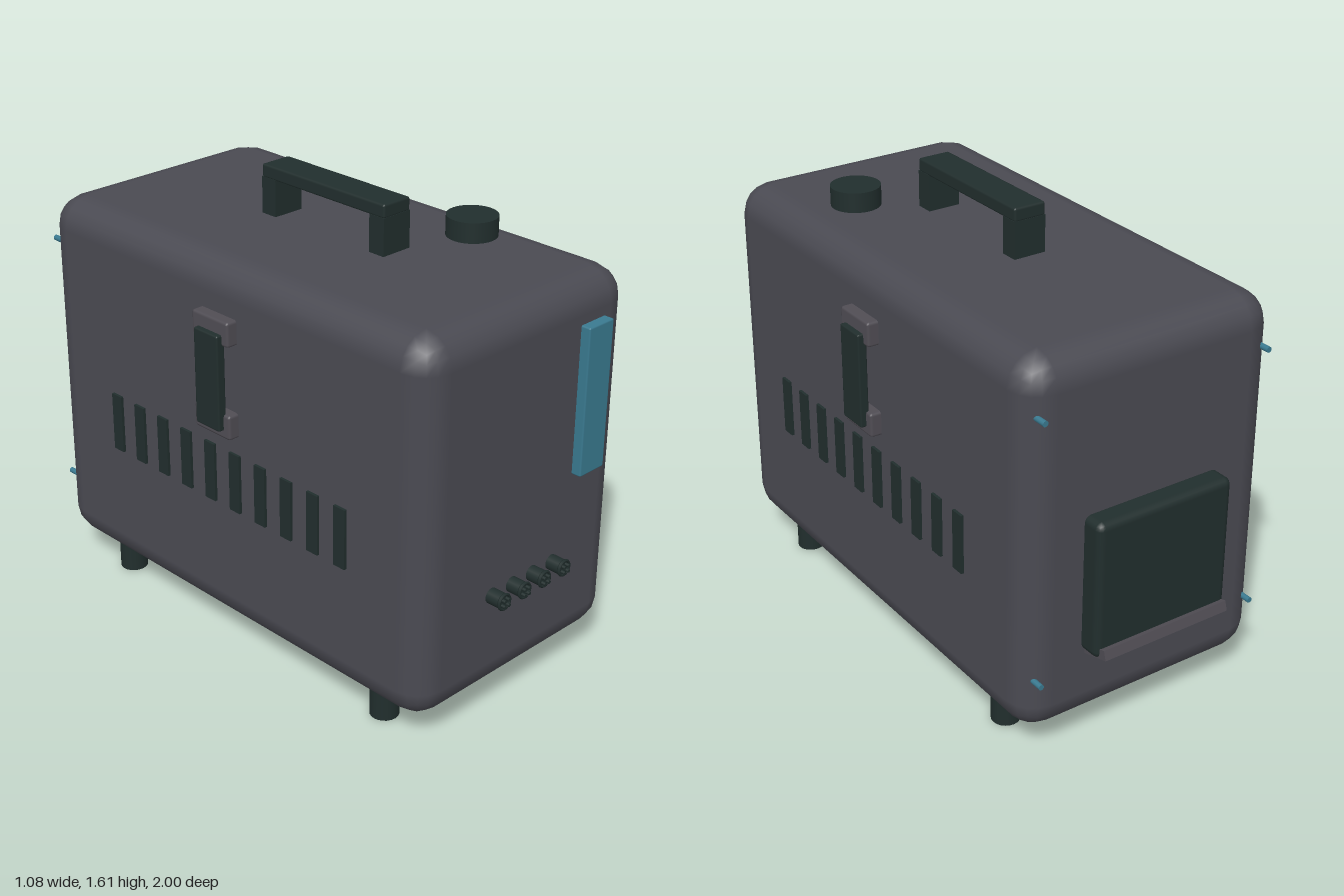
import * as THREE from 'three';
import { RoundedBoxGeometry } from 'three/addons/geometries/RoundedBoxGeometry.js';

const material = (name, color) => {
  const m = new THREE.MeshStandardMaterial({ color });
  m.name = name;
  return m;
};

export function createModel() {
  const model = new THREE.Group();
  model.name = 'portablePowerUnit';
  const grey = material('casingGrey', 0x4a4a52);
  const lightGrey = material('bracketGrey', 0x504d54);
  const dark = material('darkRubber', 0x212e2d);
  const teal = material('teal', 0x3a7a90);

  const add = (name, geometry, mat, x, y, z, parent = model) => {
    const mesh = new THREE.Mesh(geometry, mat);
    mesh.name = name;
    mesh.position.set(x, y, z);
    parent.add(mesh);
    return mesh;
  };
  // Box given by its limits, with an optional rounded edge
  const box = (name, mat, [x0, x1], [y0, y1], [z0, z1], radius = 0, segments = 1) => {
    const size = [x1 - x0, y1 - y0, z1 - z0];
    const geometry = radius
      ? new RoundedBoxGeometry(...size, segments, radius)
      : new THREE.BoxGeometry(...size);
    return add(name, geometry, mat, (x0 + x1) / 2, (y0 + y1) / 2, (z0 + z1) / 2);
  };
  // Cylinder lying along z
  const rod = (name, mat, r, x, y, z0, z1, sides = 16) => {
    const geometry = new THREE.CylinderGeometry(r, r, z1 - z0, sides).rotateX(Math.PI / 2);
    return add(name, geometry, mat, x, y, (z0 + z1) / 2);
  };

  // Casing
  box('casing', grey, [-0.48, 0.48], [0.1, 1.43], [-0.89, 0.93], 0.11, 2);

  // Feet
  for (const x of [-0.37, 0.37])
    for (const z of [0.68, -0.63])
      add('foot', new THREE.CylinderGeometry(0.05, 0.05, 0.11, 20), dark, x, 0.055, z);

  // Carrying handle and filler cap
  box('handleGrip', dark, [-0.06, 0.06], [1.557, 1.605], [-0.225, 0.345], 0.008);
  for (const z of [-0.225, 0.28])
    box('handlePost', dark, [-0.06, 0.06], [1.42, 1.56], [z, z + 0.065]);
  add('fillerCap', new THREE.CylinderGeometry(0.087, 0.087, 0.07, 32), dark, 0.255, 1.485, 0.44);

  // Front display
  box('display', teal, [0.225, 0.345], [0.765, 1.29], [0.92, 0.965], 0.006);

  // Front connectors, with a raised rim and four pins
  for (let i = 0; i < 4; i++) {
    const x = -0.151 + i * 0.0985, y = 0.47;
    rod('connector', dark, 0.027, x, y, 0.92, 0.985);
    const rim = add('connectorRim', new THREE.TorusGeometry(0.026, 0.005, 6, 20), dark, x, y, 0.985);
    rim.scale.z = 1.2;
    for (let k = 0; k < 4; k++) {
      const a = (k + 0.5) * Math.PI / 2;
      rod('connectorPin', dark, 0.006, x + 0.014 * Math.cos(a), y + 0.014 * Math.sin(a), 0.98, 1, 8);
    }
  }

  // Side vents and side grips
  for (const s of [-1, 1]) {
    const span = (a, b) => (s > 0 ? [a, b] : [-b, -a]);
    for (let i = 0; i < 10; i++) {
      const z = 0.583 - i * 0.1233;
      box('ventSlat', dark, span(0.47, 0.49), [0.565, 0.78], [z - 0.025, z + 0.025]);
    }
    for (const y of [0.845, 1.175])
      box('gripBracket', lightGrey, span(0.47, 0.52), [y, y + 0.088], [-0.065, 0.108], 0.01);
    box('gripBar', dark, span(0.507, 0.54), [0.875, 1.215], [-0.035, 0.08], 0.006);
  }

  // Rear hatch with a sloping lip
  box('rearHatch', dark, [-0.263, 0.263], [0.38, 0.872], [-0.968, -0.87], 0.025, 2);
  const lip = box('hatchLip', lightGrey, [-0.248, 0.248], [0.375, 0.41], [-0.995, -0.87]);
  lip.rotation.x = 0.28;

  // Rear screws
  for (const x of [-0.43, 0.43])
    for (const y of [0.315, 1.25])
      rod('rearScrew', teal, 0.01, x, y, -0.91, -0.86, 10);

  return model;
}
